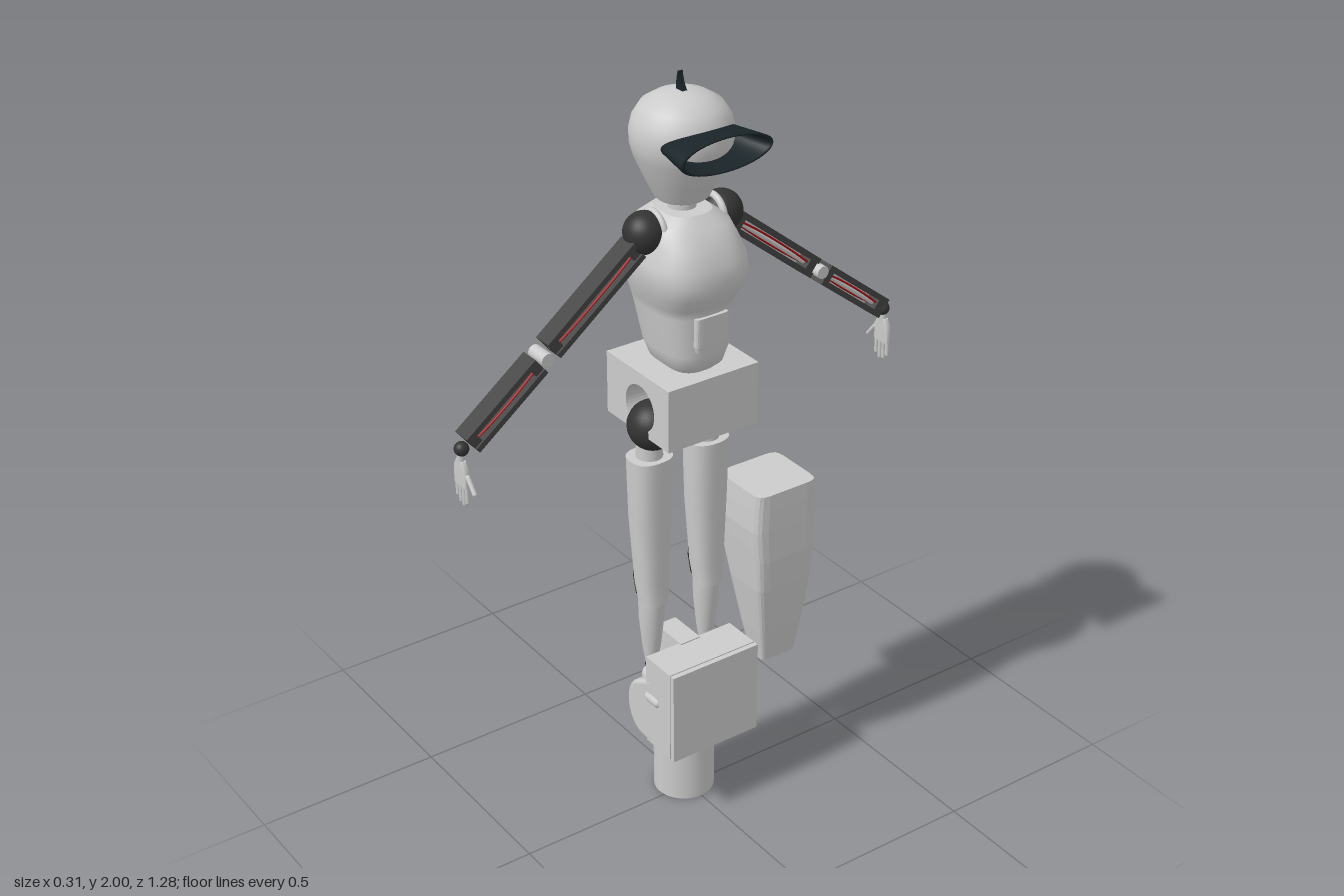
import * as THREE from 'three';

const mat = (color, extra = {}) => new THREE.MeshStandardMaterial({ color, ...extra });
const grey = mat(0xcccccc);
const facet = mat(0xcccccc, { flatShading: true });
const joint = mat(0x333333);
const rail = mat(0x444444);
const red = mat(0xaa1111);
const visorMat = mat(0x1a2428, { side: THREE.DoubleSide });

function add(parent, name, geometry, material, x = 0, y = 0, z = 0) {
  const mesh = new THREE.Mesh(geometry, material);
  mesh.name = name;
  mesh.position.set(x, y, z);
  parent.add(mesh);
  return mesh;
}
const box = (w, h, d) => new THREE.BoxGeometry(w, h, d);
const ball = (r) => new THREE.SphereGeometry(r, 28, 18);
const rod = (r, h, r2 = r) => new THREE.CylinderGeometry(r, r2, h, 32);

// Box given by its limits
function slab(parent, name, x0, x1, y0, y1, z0, z1, m = grey) {
  return add(parent, name, box(x1 - x0, y1 - y0, z1 - z0), m, (x0 + x1) / 2, (y0 + y1) / 2, (z0 + z1) / 2);
}

// Closed loft through superelliptic sections [y, x0, x1, z0, z1], from bottom to top
function loft(sections, power = 2, n = 32) {
  const pos = [], idx = [];
  const ring = ([y, x0, x1, z0, z1]) => {
    for (let j = 0; j < n; j++) {
      const t = ((j + 0.5) / n) * Math.PI * 2;
      const f = (v) => Math.sign(v) * Math.abs(v) ** (2 / power);
      pos.push((x0 + x1) / 2 + ((x1 - x0) / 2) * f(Math.cos(t)), y, (z0 + z1) / 2 + ((z1 - z0) / 2) * f(Math.sin(t)));
    }
  };
  sections.forEach(ring);
  for (let i = 0; i < sections.length - 1; i++) {
    for (let j = 0; j < n; j++) {
      const a = i * n + j, b = i * n + ((j + 1) % n);
      idx.push(a, a + n, b, b, a + n, b + n);
    }
  }
  // Caps with their own vertices
  [sections[0], sections.at(-1)].forEach((s, top) => {
    const start = pos.length / 3;
    ring(s);
    for (let j = 1; j < n - 1; j++) idx.push(start, start + (top ? j + 1 : j), start + (top ? j : j + 1));
  });
  const g = new THREE.BufferGeometry();
  g.setAttribute('position', new THREE.Float32BufferAttribute(pos, 3));
  g.setIndex(idx);
  g.computeVertexNormals();
  return g;
}

// Open arm segment: two rails, end blocks and red cables between them
function armSegment(name, y0, z0, y1, z1) {
  const g = new THREE.Group();
  g.name = name;
  const L = Math.hypot(y1 - y0, z1 - z0);
  g.position.set(0, (y0 + y1) / 2, (z0 + z1) / 2);
  g.rotation.x = Math.atan2(z1 - z0, y1 - y0);
  for (const s of [-1, 1]) {
    add(g, 'rail', box(0.052, L, 0.014), rail, 0, 0, s * 0.02);
    add(g, 'endBlock', box(0.04, 0.025, 0.03), rail, 0, s * (L / 2 - 0.0125), 0);
    const cable = new THREE.CatmullRomCurve3([-0.5, -0.2, 0.2, 0.5].map((t, i) =>
      new THREE.Vector3(s * 0.012, t * L, s * (i % 3 ? 0.007 : 0.002))));
    add(g, 'cable', new THREE.TubeGeometry(cable, 12, 0.003, 6), red);
  }
  add(g, 'coreRod', rod(0.006, L), grey);
  return g;
}

function arm() {
  const g = new THREE.Group();
  add(g, 'shoulderSocket', new THREE.TorusGeometry(0.046, 0.009, 10, 32), grey, 0, 1.633, 0.085);
  add(g, 'shoulderBall', ball(0.052), joint, 0, 1.633, 0.11);
  g.add(armSegment('upperArm', 1.605, 0.14, 1.415, 0.38));
  const elbow = add(g, 'elbow', rod(0.017, 0.06), grey, 0, 1.4, 0.4);
  elbow.rotation.z = Math.PI / 2;
  g.add(armSegment('forearm', 1.388, 0.415, 1.24, 0.605));
  add(g, 'wrist', ball(0.018), joint, 0, 1.228, 0.622);
  // Hand, thumb forward
  const hand = new THREE.Group();
  hand.name = 'hand';
  hand.position.set(0, 1.2, 0.625);
  g.add(hand);
  add(hand, 'handStem', rod(0.01, 0.03), grey, 0, 0.005, 0);
  add(hand, 'palm', loft([[-0.065, -0.027, 0.027, -0.008, 0.008], [-0.02, -0.025, 0.027, -0.009, 0.009],
    [0, -0.014, 0.014, -0.008, 0.008]], 4, 16), grey);
  [0.042, 0.052, 0.048, 0.036].forEach((len, i) =>
    add(hand, 'finger', new THREE.CapsuleGeometry(0.0055, len, 4, 8), grey, 0.021 - i * 0.014, -0.062 - len / 2, 0));
  const thumb = add(hand, 'thumb', new THREE.CapsuleGeometry(0.006, 0.042, 4, 8), grey, 0.042, -0.05, 0);
  thumb.rotation.z = 0.7;
  return g;
}

export function createModel() {
  const model = new THREE.Group();

  // Stand with block and dividing fin
  add(model, 'pedestal', rod(0.08, 0.21), grey, -0.02, 0.105, 0);
  slab(model, 'standFin', -0.1, 0.01, 0.2, 0.468, -0.03, 0.03);
  slab(model, 'standBlock', 0, 0.105, 0.205, 0.465, -0.132, 0.132);
  slab(model, 'standFrontPlate', 0.108, 0.122, 0.205, 0.465, -0.132, 0.132);
  slab(model, 'standPlateCore', 0.1, 0.11, 0.21, 0.46, -0.128, 0.128);

  // Legs and feet
  for (const s of [-1, 1]) {
    const leg = new THREE.Group();
    leg.name = 'leg';
    leg.position.set(-0.045, 0, s * 0.085);
    model.add(leg);
    add(leg, 'hipBall', ball(0.064), joint, 0.02, 1.116, 0.003 * s);
    add(leg, 'hipStem', rod(0.034, 0.07), grey, 0, 1.045, 0);
    add(leg, 'thigh', loft([[0.6, -0.022, 0.045, -0.038, 0.036], [0.66, -0.036, 0.043, -0.043, 0.041],
      [0.85, -0.046, 0.046, -0.053, 0.053], [1.02, -0.05, 0.05, -0.057, 0.057]], 2.5), grey);
    add(leg, 'kneeJoint', loft([[0.61, -0.038, 0, -0.025, 0.025], [0.66, -0.048, 0, -0.028, 0.028],
      [0.71, -0.045, 0, -0.025, 0.025]], 4, 20), joint);
    add(leg, 'shin', loft([[0.4, -0.013, 0.016, -0.014, 0.014], [0.46, -0.022, 0.026, -0.024, 0.024],
      [0.55, -0.03, 0.036, -0.033, 0.033], [0.62, -0.032, 0.04, -0.035, 0.035]]), grey);
    add(leg, 'ankle', ball(0.016), joint, 0, 0.4, 0);
    add(leg, 'ankleBall', ball(0.027), grey, 0.004, 0.37, 0);
    // Rounded heel housing running into the block
    const heel = new THREE.Shape();
    heel.moveTo(0.06, 0.215);
    heel.lineTo(0.03, 0.215);
    heel.bezierCurveTo(-0.01, 0.215, -0.032, 0.25, -0.032, 0.29);
    heel.bezierCurveTo(-0.032, 0.33, -0.015, 0.35, 0.01, 0.36);
    heel.lineTo(0.06, 0.39);
    const heelGeo = new THREE.ExtrudeGeometry(heel, { depth: 0.076, bevelSize: 0.01, bevelThickness: 0.01, bevelSegments: 3, curveSegments: 16 });
    heelGeo.translate(0, 0, -0.038);
    add(leg, 'heel', heelGeo, grey);
    const knob = add(leg, 'footPeg', new THREE.CapsuleGeometry(0.015, 0.035, 6, 12), grey, 0.07, 0.345, s * 0.04);
    knob.rotation.z = Math.PI / 2;
  }

  // Detached leg armour beside the figure
  add(model, 'legArmour', loft([
    [0.36, 0.005, 0.07, -0.295, -0.19], [0.46, -0.015, 0.085, -0.308, -0.172],
    [0.6, -0.04, 0.103, -0.322, -0.15], [0.69, -0.065, 0.108, -0.328, -0.142],
    [0.73, -0.1, 0.108, -0.328, -0.138], [0.78, -0.115, 0.108, -0.328, -0.135],
    [0.84, -0.102, 0.107, -0.328, -0.138], [0.885, -0.07, 0.106, -0.326, -0.142]], 8, 20), facet);

  // Hip block with round openings on both sides
  const side = new THREE.Shape();
  side.moveTo(-0.155, 1.11);
  side.lineTo(0.105, 1.11);
  side.lineTo(0.105, 1.275);
  side.lineTo(-0.155, 1.275);
  const opening = new THREE.Path();
  opening.absarc(-0.015, 1.18, 0.06, 0, Math.PI * 2, true);
  side.holes.push(opening);
  for (const z of [-0.132, 0.042]) {
    const g = new THREE.ExtrudeGeometry(side, { depth: 0.09, bevelEnabled: false, curveSegments: 24 });
    add(model, 'hipBlockSide', g, grey, 0, 0, z);
  }
  slab(model, 'hipBlockCore', -0.155, 0.105, 1.11, 1.275, -0.042, 0.042);
  add(model, 'crotch', loft([[1.06, -0.05, 0.03, -0.025, 0.025], [1.115, -0.08, 0.07, -0.055, 0.055]], 8, 20), facet);

  // Torso, swelling at the chest
  add(model, 'torso', loft([
    [1.272, -0.08, 0.06, -0.055, 0.055], [1.29, -0.102, 0.08, -0.075, 0.075],
    [1.33, -0.118, 0.092, -0.088, 0.088], [1.43, -0.146, 0.092, -0.1, 0.1],
    [1.455, -0.15, 0.1, -0.108, 0.108], [1.49, -0.151, 0.122, -0.122, 0.122],
    [1.53, -0.152, 0.132, -0.13, 0.13], [1.565, -0.152, 0.122, -0.13, 0.13],
    [1.61, -0.15, 0.106, -0.112, 0.112], [1.645, -0.125, 0.075, -0.1, 0.1],
    [1.672, -0.095, 0.045, -0.06, 0.06]], 2.8, 40), grey);
  add(model, 'bellyPanel', loft([[1.345, 0.05, 0.099, -0.042, 0.042], [1.36, 0.05, 0.1, -0.046, 0.046],
    [1.435, 0.05, 0.102, -0.046, 0.046]], 8, 20), facet);
  add(model, 'neck', rod(0.034, 0.06), grey, -0.025, 1.69, 0);

  // Arms: the second is the first turned half round
  ['leftArm', 'rightArm'].forEach((name, i) => {
    const a = arm();
    a.name = name;
    a.position.x = -0.02;
    a.rotation.y = i * Math.PI;
    model.add(a);
  });

  // Head
  const profile = [[0, 1.697], [0.06, 1.697], [0.066, 1.702], [0.092, 1.755], [0.114, 1.805], [0.122, 1.835], [0.123, 1.865],
    [0.116, 1.895], [0.097, 1.925], [0.065, 1.945], [0.03, 1.955], [0, 1.957]];
  add(model, 'head', new THREE.LatheGeometry(profile.map((p) => new THREE.Vector2(...p)), 48), grey, -0.026, 0, 0);

  // Flared hollow visor
  const rim = [[0.09, 0.02], [0.105, 0.04], [0.129, 0.15], [0.116, 0.15], [0.09, 0.04], [0.09, 0.02]];
  const visor = new THREE.LatheGeometry(rim.map((p) => new THREE.Vector2(...p)), 48);
  visor.scale(0.33, 1, 1);
  visor.rotateZ(-Math.PI / 2);
  add(model, 'visor', visor, visorMat, 0, 1.857, 0);

  // Crest fin on the crown
  const fin = new THREE.Shape();
  fin.moveTo(-0.038, 1.95);
  fin.lineTo(-0.006, 1.95);
  fin.quadraticCurveTo(-0.026, 1.962, -0.032, 2);
  fin.quadraticCurveTo(-0.04, 1.975, -0.038, 1.95);
  const finGeo = new THREE.ExtrudeGeometry(fin, { depth: 0.014, bevelEnabled: false });
  add(model, 'crest', finGeo, visorMat, 0, 0, -0.007);

  // Red loop at the nape
  const loop = new THREE.TorusGeometry(0.03, 0.006, 10, 24, Math.PI);
  loop.rotateZ(Math.PI / 2);
  loop.rotateX(Math.PI / 2);
  add(model, 'napeLoop', loop, red, -0.116, 1.748, 0);
  for (const s of [-1, 1]) {
    const end = add(model, 'napeLoopEnd', rod(0.006, 0.03), red, -0.102, 1.748, s * 0.03);
    end.rotation.z = Math.PI / 2;
  }
  return model;
}
